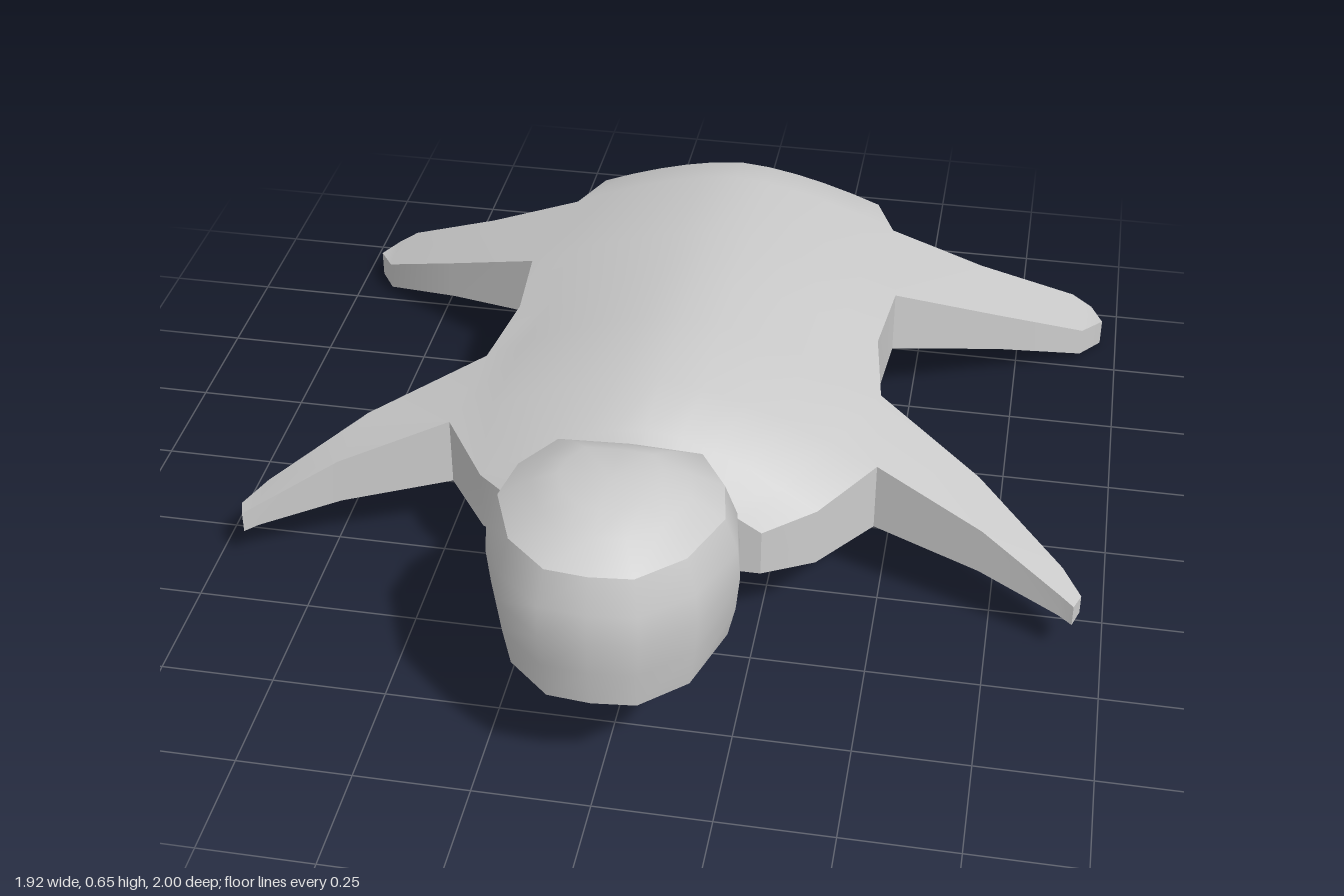
import * as THREE from 'three';
import { mergeVertices, toCreasedNormals } from 'three/addons/utils/BufferGeometryUtils.js';

const material = new THREE.MeshStandardMaterial({ color: 0xcccccc, side: THREE.DoubleSide });

// Collects quads as triangles; flip reverses the winding for mirrored parts
function surface() {
  const tris = [];
  return {
    quad(a, b, c, d, flip = false) {
      const order = flip ? [a, c, b, a, d, c] : [a, b, c, a, c, d];
      order.forEach((p) => tris.push(...p));
    },
    mesh(name, crease) {
      let g = new THREE.BufferGeometry();
      g.setAttribute('position', new THREE.Float32BufferAttribute(tris, 3));
      if (crease === undefined) {
        g = mergeVertices(g, 1e-4);
        g.computeVertexNormals();
      } else g = toCreasedNormals(g, crease);
      const m = new THREE.Mesh(g, material);
      m.name = name;
      return m;
    },
  };
}

// Body cross-sections, front to back: z, half width, centre top, edge top, edge bottom
const ROWS = [
  [0.44, 0.26, 0.41, 0.30, 0.19],
  [0.37, 0.37, 0.49, 0.32, 0.18],
  [0.21, 0.48, 0.51, 0.335, 0.17],
  [-0.06, 0.46, 0.495, 0.335, 0.16],
  [-0.27, 0.43, 0.475, 0.34, 0.165],
  [-0.49, 0.45, 0.455, 0.33, 0.175],
  [-0.84, 0.41, 0.415, 0.30, 0.19],
  [-0.96, 0.36, 0.39, 0.30, 0.19],
  [-1.0, 0.22, 0.36, 0.31, 0.17],
];

// Legs leave the body edge between two rows.
// Each section: front edge [x, top, z, bottom], back edge [x, top, z, bottom]
const LEGS = [
  { row: 2, sections: [
    [[0.72, 0.255, 0.295, 0.145], [0.70, 0.265, 0.115, 0.145]],
    [[0.90, 0.155, 0.36, 0.10], [0.90, 0.16, 0.27, 0.10]],
    [[0.93, 0.14, 0.375, 0.09], [0.945, 0.135, 0.33, 0.09]],
  ] },
  { row: 5, sections: [
    [[0.70, 0.20, -0.645, 0.10], [0.64, 0.21, -0.855, 0.12]],
    [[0.91, 0.09, -0.78, 0.02], [0.88, 0.095, -0.94, 0.025]],
    [[0.96, 0.065, -0.87, 0.0], [0.93, 0.06, -0.945, 0.0]],
  ] },
];

const COLS = 10;
const rowPoint = ([z, w, c, e], j) => {
  const t = (j / COLS) * 2 - 1;
  return [t * w, c - (c - e) * Math.abs(t) ** 1.6, z];
};
const edge = ([z, w, , e, b]) => [w, e, z, b];
const top = ([x, y, z], s) => [x * s, y, z];
const bottom = ([x, , z, b], s) => [x * s, b, z];

function createHide() {
  const hide = new THREE.Group();
  hide.name = 'hide';
  const back = surface();
  const rim = surface();

  // Domed back
  for (let i = 0; i < ROWS.length - 1; i++)
    for (let j = 0; j < COLS; j++)
      back.quad(rowPoint(ROWS[i], j), rowPoint(ROWS[i], j + 1),
        rowPoint(ROWS[i + 1], j + 1), rowPoint(ROWS[i + 1], j));

  // Outline of one side, running around both legs
  const outline = [];
  ROWS.forEach((row, i) => {
    outline.push(edge(row));
    const leg = LEGS.find((l) => l.row === i);
    if (leg) {
      leg.sections.forEach((s) => outline.push(s[0]));
      [...leg.sections].reverse().forEach((s) => outline.push(s[1]));
    }
  });

  for (const s of [1, -1]) {
    // Upper side of the legs
    for (const { row, sections } of LEGS) {
      const all = [[edge(ROWS[row]), edge(ROWS[row + 1])], ...sections];
      for (let k = 0; k < all.length - 1; k++)
        back.quad(top(all[k][0], s), top(all[k + 1][0], s),
          top(all[k + 1][1], s), top(all[k][1], s), s < 0);
    }
    // Side walls
    for (let k = 0; k < outline.length - 1; k++) {
      const [a, b] = [outline[k], outline[k + 1]];
      rim.quad(top(a, s), bottom(a, s), bottom(b, s), top(b, s), s < 0);
    }
  }

  // Front wall beside the neck, and rear wall
  const front = ROWS[0], rear = ROWS[ROWS.length - 1];
  for (let j = 0; j < COLS; j++) {
    const [a, b] = [rowPoint(front, j), rowPoint(front, j + 1)];
    if (Math.abs(a[0] + b[0]) / 2 > 0.17)
      rim.quad(a, [a[0], 0.19, 0.44], [b[0], 0.19, 0.44], b);
    const [c, d] = [rowPoint(rear, j), rowPoint(rear, j + 1)];
    const low = (p) => [p[0], 0.157 + 0.013 * Math.abs(p[0]) / 0.22, -0.97];
    rim.quad(c, d, low(d), low(c));
  }
  hide.add(back.mesh('back'), rim.mesh('rim', 0.5));
  return hide;
}

function createHead() {
  const head = new THREE.Group();
  head.name = 'head';
  // Plan outline of the skull, one side from nose to nape, then mirrored
  const half = [[0, 1], [0.1, 0.99], [0.2, 0.9], [0.26, 0.75], [0.24, 0.63], [0.17, 0.52], [0, 0.51]];
  const plan = [...half, ...half.slice(1, -1).reverse().map(([x, z]) => [-x, z])];
  // Levels from underside to crown: height, scale
  const levels = [[0.29, 0], [0.28, 0.91], [0.35, 0.97], [0.43, 1], [0.5, 0.98], [0.575, 0.88], [0.62, 0.62], [0.645, 0.4], [0.647, 0]];
  const ring = levels.map(([y, s], i) => plan.map(([x, z]) =>
    [x * s, y - (i === 1 && z > 0.85 ? 0.02 : 0), 0.75 + (z - 0.75) * s]));
  const build = (name, from, to, crease) => {
    const part = surface();
    for (let i = from; i < to; i++)
      plan.forEach((_, j) => {
        const k = (j + 1) % plan.length;
        part.quad(ring[i][j], ring[i][k], ring[i + 1][k], ring[i + 1][j]);
      });
    return part.mesh(name, crease);
  };
  head.add(build('jaw', 0, 1, 0.6), build('face', 1, 5, 0.75), build('crown', 5, 8, 0.9));

  // Open neck sleeve: z, half width, bottom, top
  const sections = [[0.44, 0.17, 0.2, 0.41], [0.51, 0.17, 0.235, 0.48], [0.57, 0.2, 0.27, 0.58], [0.66, 0.21, 0.285, 0.6]];
  const loops = sections.map(([z, w, lo, hi]) => Array.from({ length: 8 }, (_, i) => {
    const a = (i + 0.5) * Math.PI / 4;
    const c = Math.cos(Math.PI / 8);
    return [w * Math.cos(a) / c, (lo + hi) / 2 + (hi - lo) / 2 * Math.sin(a) / c, z];
  }));
  const neck = surface();
  for (let i = 0; i < 3; i++)
    for (let j = 0; j < 8; j++) {
      const k = (j + 1) % 8;
      neck.quad(loops[i][j], loops[i][k], loops[i + 1][k], loops[i + 1][j], true);
    }
  head.add(neck.mesh('neck', 0.9));
  return head;
}

export function createModel() {
  const model = new THREE.Group();
  model.name = 'animalRug';
  model.add(createHide(), createHead());
  return model;
}
